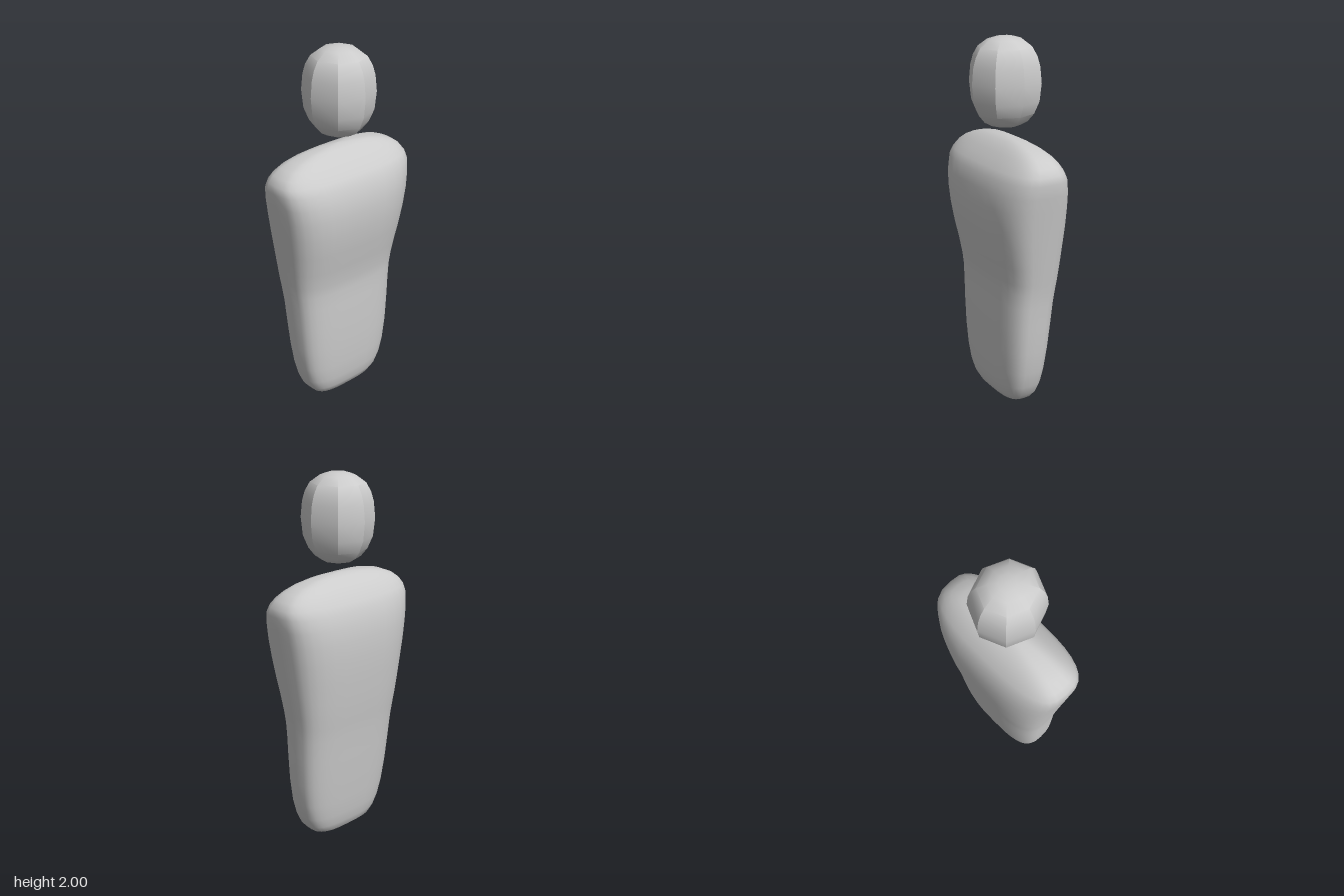
import * as THREE from 'three';
import { toCreasedNormals } from 'three/addons/utils/BufferGeometryUtils.js';

const SIDES = 32;

// Cross-sections of the torso from bottom to top: [y, half width, front z, back z]
const SECTIONS = [
  [0.005, 0, 0.005, 0.005], [0.006, 0.09, 0.035, -0.03], [0.012, 0.16, 0.07, -0.065],
  [0.03, 0.205, 0.095, -0.085], [0.07, 0.24, 0.115, -0.1], [0.13, 0.267, 0.128, -0.113],
  [0.22, 0.29, 0.137, -0.125], [0.35, 0.307, 0.144, -0.14], [0.5, 0.318, 0.147, -0.155],
  [0.62, 0.326, 0.147, -0.166], [0.7, 0.335, 0.147, -0.176], [0.76, 0.344, 0.152, -0.184],
  [0.85, 0.357, 0.168, -0.194], [0.96, 0.374, 0.192, -0.204], [1.07, 0.391, 0.209, -0.212],
  [1.17, 0.407, 0.215, -0.212], [1.25, 0.42, 0.208, -0.205], [1.32, 0.43, 0.19, -0.188],
  [1.36, 0.422, 0.165, -0.167], [1.395, 0.397, 0.135, -0.143], [1.425, 0.355, 0.107, -0.118],
  [1.45, 0.295, 0.079, -0.09], [1.47, 0.205, 0.049, -0.06], [1.48, 0.11, 0.023, -0.033],
  [1.483, 0, -0.004, -0.004],
];

// Rounded power used for the superelliptic outline
const soft = (v) => Math.sign(v) * Math.pow(Math.abs(v), 2 / 3.1);

function torsoGeometry() {
  const positions = [], indices = [];
  SECTIONS.forEach(([y, width, front, back], row) => {
    const middle = (front + back) / 2, depth = (front - back) / 2;
    for (let i = 0; i < SIDES; i++) {
      const a = (i / SIDES) * Math.PI * 2;
      positions.push(width * soft(Math.sin(a)), y, middle + depth * soft(Math.cos(a)));
      if (row === SECTIONS.length - 1) continue;
      const j = (i + 1) % SIDES, lo = row * SIDES, hi = lo + SIDES;
      indices.push(lo + i, lo + j, hi + i, lo + j, hi + j, hi + i);
    }
  });
  const geometry = new THREE.BufferGeometry();
  geometry.setAttribute('position', new THREE.Float32BufferAttribute(positions, 3));
  geometry.setIndex(indices);
  geometry.computeVertexNormals();
  return geometry;
}

// Eight-sided head: sharp upright edges, softly rounded crown and chin
function headGeometry() {
  const profile = [
    [0, 1.53], [0.035, 1.532], [0.078, 1.542], [0.118, 1.565], [0.15, 1.605], [0.177, 1.67],
    [0.187, 1.765], [0.179, 1.85], [0.165, 1.9], [0.14, 1.945], [0.09, 1.982], [0.045, 1.996], [0, 2],
  ].map(([r, y]) => new THREE.Vector2(r, y));
  const geometry = new THREE.LatheGeometry(profile, 8);
  geometry.scale(1, 1, 1.04);
  geometry.translate(0, 0, 0.005);
  return toCreasedNormals(geometry, THREE.MathUtils.degToRad(36));
}

export function createModel() {
  const group = new THREE.Group();
  const material = new THREE.MeshStandardMaterial({ color: 0xcccccc });
  const add = (name, geometry) => {
    const mesh = new THREE.Mesh(geometry, material);
    mesh.name = name;
    group.add(mesh);
  };
  add('torso', torsoGeometry());
  add('head', headGeometry());
  return group;
}
